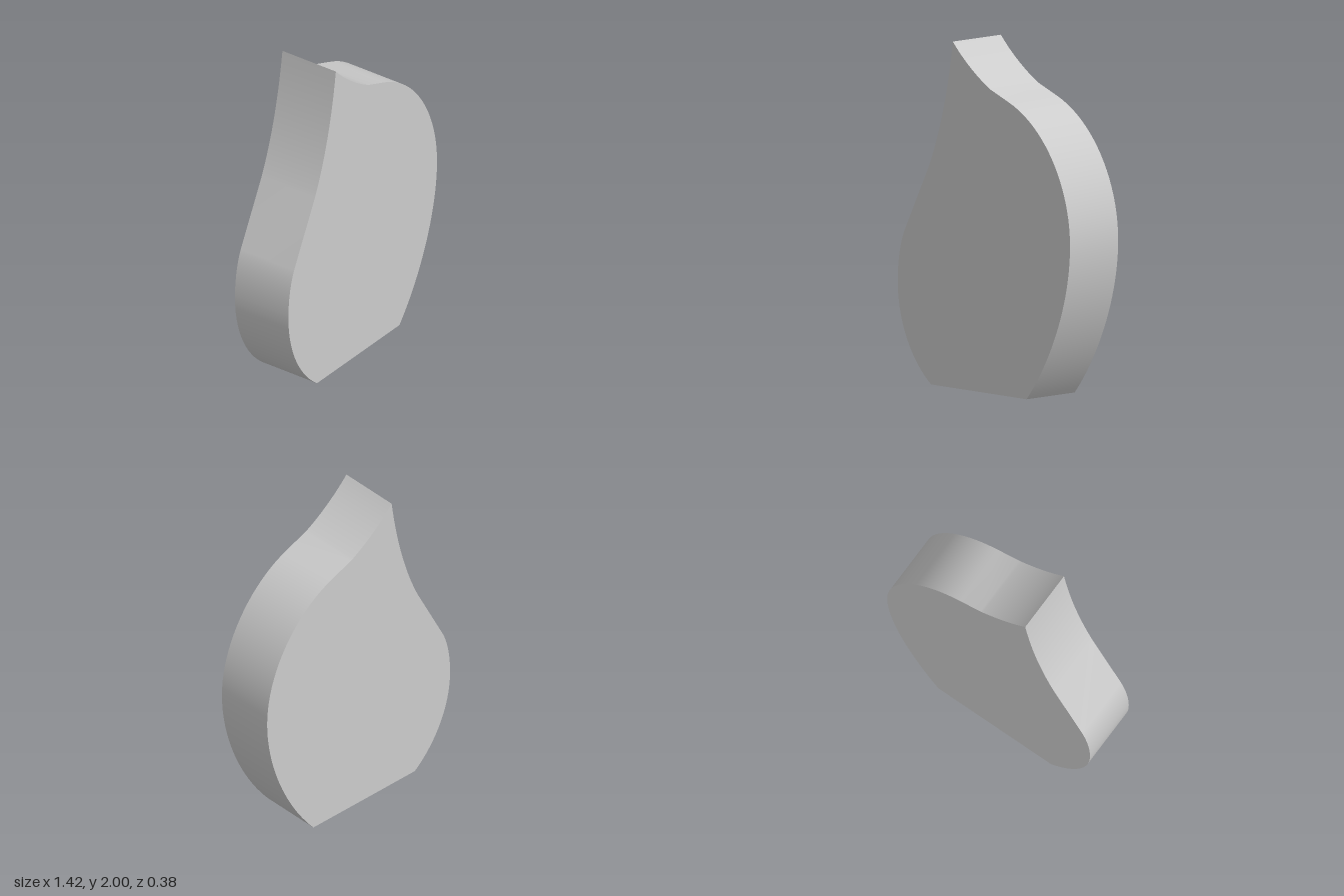
import * as THREE from 'three';
import { toCreasedNormals } from 'three/addons/utils/BufferGeometryUtils.js';

const DEPTH = 0.38;

export function createModel() {
  const group = new THREE.Group();
  group.name = 'flame';

  const outline = new THREE.Shape();
  // flat foot, then the full right-hand bulge
  outline.moveTo(-0.44, 0);
  outline.lineTo(0.35, 0);
  outline.bezierCurveTo(0.57, 0.26, 0.71, 0.62, 0.71, 0.92);
  outline.bezierCurveTo(0.71, 1.26, 0.5, 1.59, 0.2, 1.7);
  // shoulder sweeping up to the tip
  outline.lineTo(0.055, 1.755);
  outline.bezierCurveTo(-0.05, 1.81, -0.17, 1.9, -0.26, 2);
  // hollow flank and lower bulge back to the foot
  outline.bezierCurveTo(-0.3, 1.7, -0.37, 1.45, -0.46, 1.255);
  outline.lineTo(-0.66, 0.865);
  outline.bezierCurveTo(-0.7, 0.78, -0.715, 0.67, -0.715, 0.57);
  outline.bezierCurveTo(-0.715, 0.33, -0.6, 0.12, -0.44, 0);

  const geometry = new THREE.ExtrudeGeometry(outline, {
    depth: DEPTH, bevelEnabled: false, curveSegments: 20,
  });
  geometry.translate(0, 0, -DEPTH / 2);

  const body = new THREE.Mesh(
    toCreasedNormals(geometry, Math.PI / 6),
    new THREE.MeshStandardMaterial({ color: 0xcccccc }),
  );
  body.name = 'flameBody';
  group.add(body);
  return group;
}
